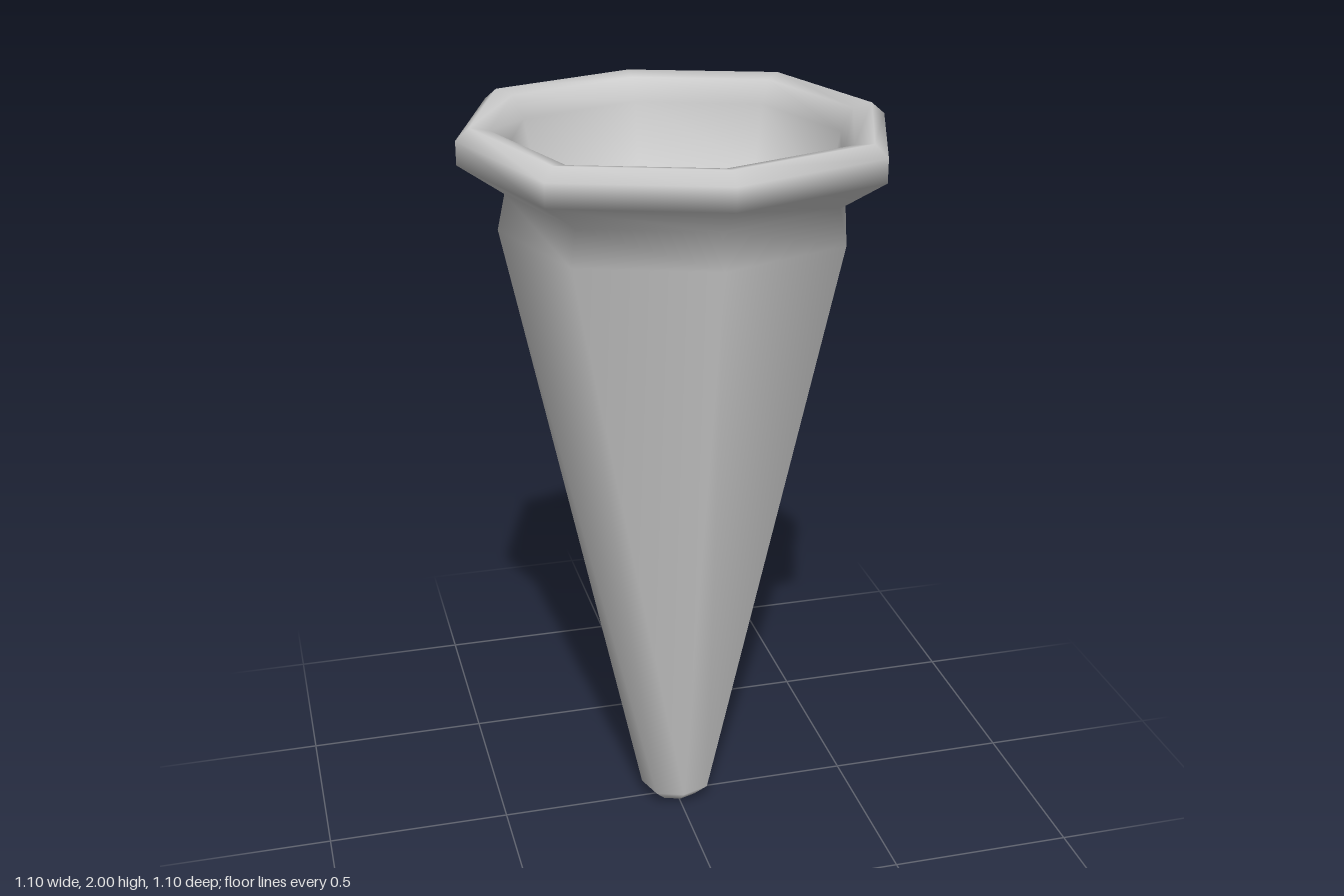
import * as THREE from 'three';
import { mergeVertices } from 'three/addons/utils/BufferGeometryUtils.js';

// Profile from the tip, up the outside, over the rim and down into the bowl
const PROFILE = [
  [0, 0], [0.06, 0.01], [0.10, 0.05],                            // rounded tip
  [0.455, 1.74], [0.435, 1.83],                                  // tapered body and neck
  [0.55, 1.91], [0.55, 1.97], [0.515, 2], [0.465, 1.99], [0.435, 1.93], // rim
  [0.40, 1.77], [0.21, 1.62], [0, 1.58],                         // hollow inside
];

// Eight-sided lathe whose diagonal corners sit slightly further out
function octagonalLathe(profile, diagonal) {
  const points = profile.map(([r, y]) => new THREE.Vector2(r, y));
  let geometry = new THREE.LatheGeometry(points, 8);
  const pos = geometry.attributes.position;
  for (let i = 0; i < pos.count; i++) {
    const side = Math.floor(i / points.length);
    const s = side % 2 ? diagonal : 1;
    pos.setXYZ(i, pos.getX(i) * s, pos.getY(i), pos.getZ(i) * s);
  }
  // Weld the seam and poles so the shading stays smooth all round
  geometry.deleteAttribute('normal');
  geometry.deleteAttribute('uv');
  geometry = mergeVertices(geometry, 1e-4);
  geometry.computeVertexNormals();
  return geometry;
}

export function createModel() {
  const group = new THREE.Group();
  group.name = 'hollowCone';
  const material = new THREE.MeshStandardMaterial({ color: 0xcccccc });
  const cone = new THREE.Mesh(octagonalLathe(PROFILE, 1.055), material);
  cone.name = 'coneWithRim';
  group.add(cone);
  return group;
}
